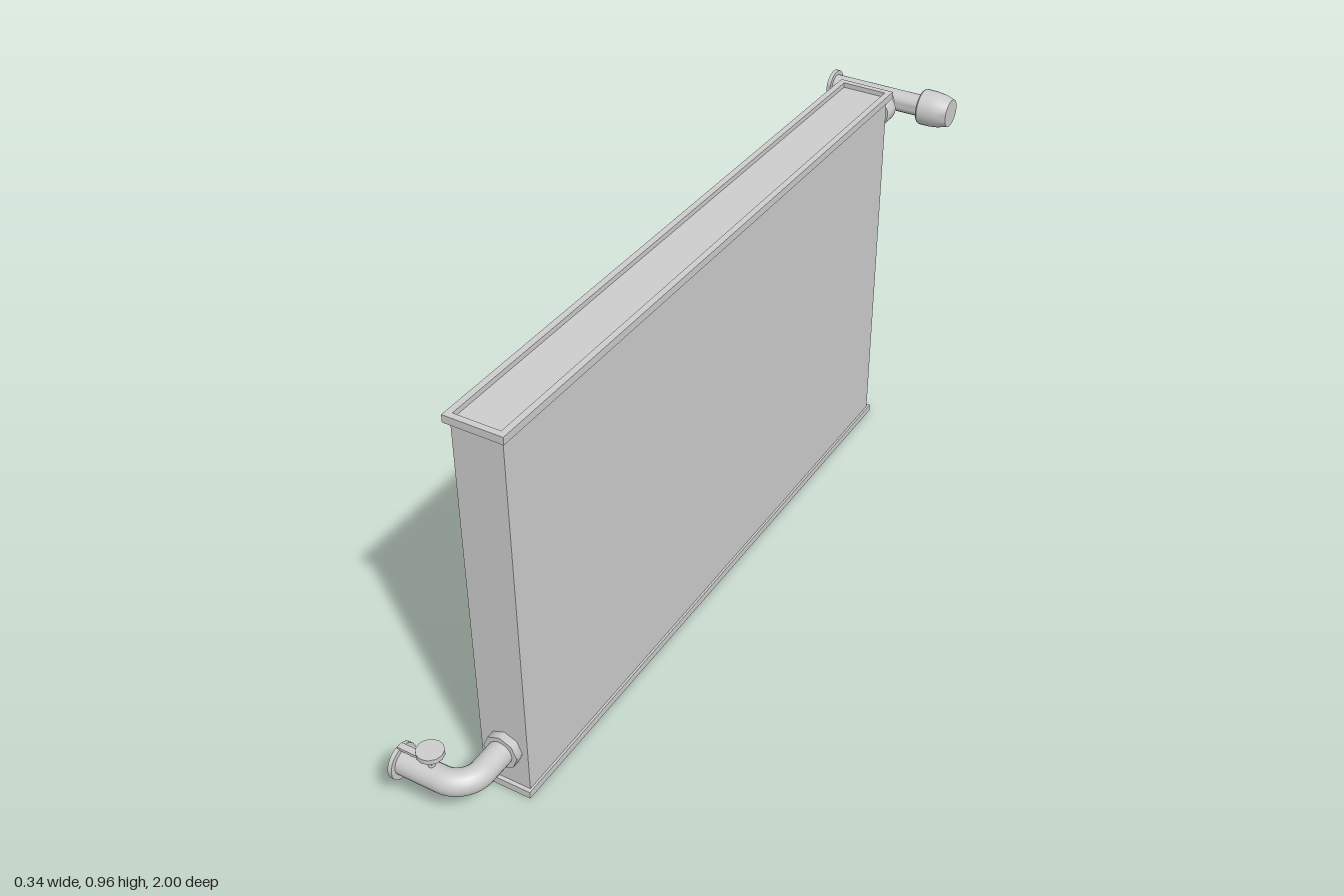
import * as THREE from 'three';
import { toCreasedNormals } from 'three/addons/utils/BufferGeometryUtils.js';

const grey = new THREE.MeshStandardMaterial({ color: 0xcccccc, side: THREE.DoubleSide });

function add(parent, name, geometry, x = 0, y = 0, z = 0) {
  const mesh = new THREE.Mesh(geometry, grey);
  mesh.name = name;
  mesh.position.set(x, y, z);
  parent.add(mesh);
  return mesh;
}

// Hollow rectangular frame standing on its base: width in x, length in z
function frame(w, l, t, h) {
  const rect = (path, a, b) => path.moveTo(-a, -b).lineTo(a, -b).lineTo(a, b).lineTo(-a, b).closePath();
  const shape = rect(new THREE.Shape(), w / 2, l / 2);
  shape.holes.push(rect(new THREE.Path(), w / 2 - t, l / 2 - t));
  return new THREE.ExtrudeGeometry(shape, { depth: h, bevelEnabled: false }).rotateX(-Math.PI / 2);
}

// Turned part from [radius, height] points, along +x or +z
function turned(points, axis, sides = 24) {
  const g = new THREE.LatheGeometry(points.map(p => new THREE.Vector2(...p)), sides);
  if (axis === 'x') g.rotateZ(-Math.PI / 2);
  if (axis === 'z') g.rotateX(Math.PI / 2);
  return toCreasedNormals(g, 0.6);
}

const ring = (r, inner, a, b) => [[inner, a], [r, a], [r, b], [inner, b], [inner, a]];
const disc = (r, a, b) => [[0, a], [r, a], [r, b], [0, b]];

export function createModel() {
  const model = new THREE.Group();
  model.name = 'radiator';

  // Panel body: open underneath, closed by a sunken top plate
  const body = new THREE.Group();
  body.name = 'body';
  body.position.set(-0.003, 0, 0.004);
  model.add(body);
  add(body, 'walls', frame(0.12, 1.622, 0.005, 0.95));
  add(body, 'topPlate', new THREE.BoxGeometry(0.114, 0.008, 1.616), 0, 0.948, 0);
  add(body, 'topRim', frame(0.141, 1.645, 0.015, 0.018), 0, 0.946, 0);
  add(body, 'bottomRim', frame(0.131, 1.642, 0.0105, 0.018));

  // Lower return pipe at the front, bending towards -x
  const lower = new THREE.Group();
  lower.name = 'returnValve';
  lower.position.set(0, 0.116, 0.957);
  model.add(lower);
  const path = new THREE.CurvePath();
  const v = (x, z) => new THREE.Vector3(x, 0, z);
  path.add(new THREE.LineCurve3(v(0, -0.142), v(0, -0.06)));
  path.add(new THREE.CubicBezierCurve3(v(0, -0.06), v(0, -0.027), v(-0.027, 0), v(-0.06, 0)));
  path.add(new THREE.LineCurve3(v(-0.06, 0), v(-0.165, 0)));
  add(lower, 'elbowPipe', new THREE.TubeGeometry(path, 40, 0.03, 20));
  const nut = new THREE.CylinderGeometry(0.043, 0.043, 0.02, 8).rotateX(Math.PI / 2);
  add(lower, 'wallNut', nut, 0, 0, -0.132);
  add(lower, 'endFlange', turned(ring(0.042, 0.026, -0.17, -0.16), 'x'));

  // Shut-off handle on the return pipe
  add(lower, 'handleStem', new THREE.CylinderGeometry(0.008, 0.008, 0.045, 12), -0.084, 0.044, 0);
  add(lower, 'handleKnob', new THREE.CylinderGeometry(0.031, 0.031, 0.012, 12), -0.084, 0.068, 0);
  add(lower, 'lever', new THREE.BoxGeometry(0.09, 0.007, 0.016), -0.122, 0.042, 0);

  // Upper supply valve at the back: a T with a control head
  const upper = new THREE.Group();
  upper.name = 'supplyValve';
  upper.position.set(0, 0.873, -0.955);
  model.add(upper);
  add(upper, 'crossPipe', turned([[0.027, -0.155], [0.027, 0.1]], 'x'));
  add(upper, 'endFlange', turned(ring(0.038, 0.023, -0.162, -0.152), 'x'));
  add(upper, 'controlHead', turned(
    [[0, 0.09], [0.042, 0.09], [0.045, 0.094], [0.045, 0.122], [0.042, 0.145], [0.035, 0.169], [0, 0.169]], 'x'));
  add(upper, 'neck', turned([[0.025, 0.01], [0.025, 0.145]], 'z'));
  add(upper, 'neckNut', turned(
    [[0, 0.047], [0.037, 0.047], [0.04, 0.051], [0.04, 0.085], [0.037, 0.09], [0, 0.09]], 'z'));
  add(upper, 'wallWasher', turned(disc(0.043, 0.128, 0.149), 'z'));

  return model;
}
